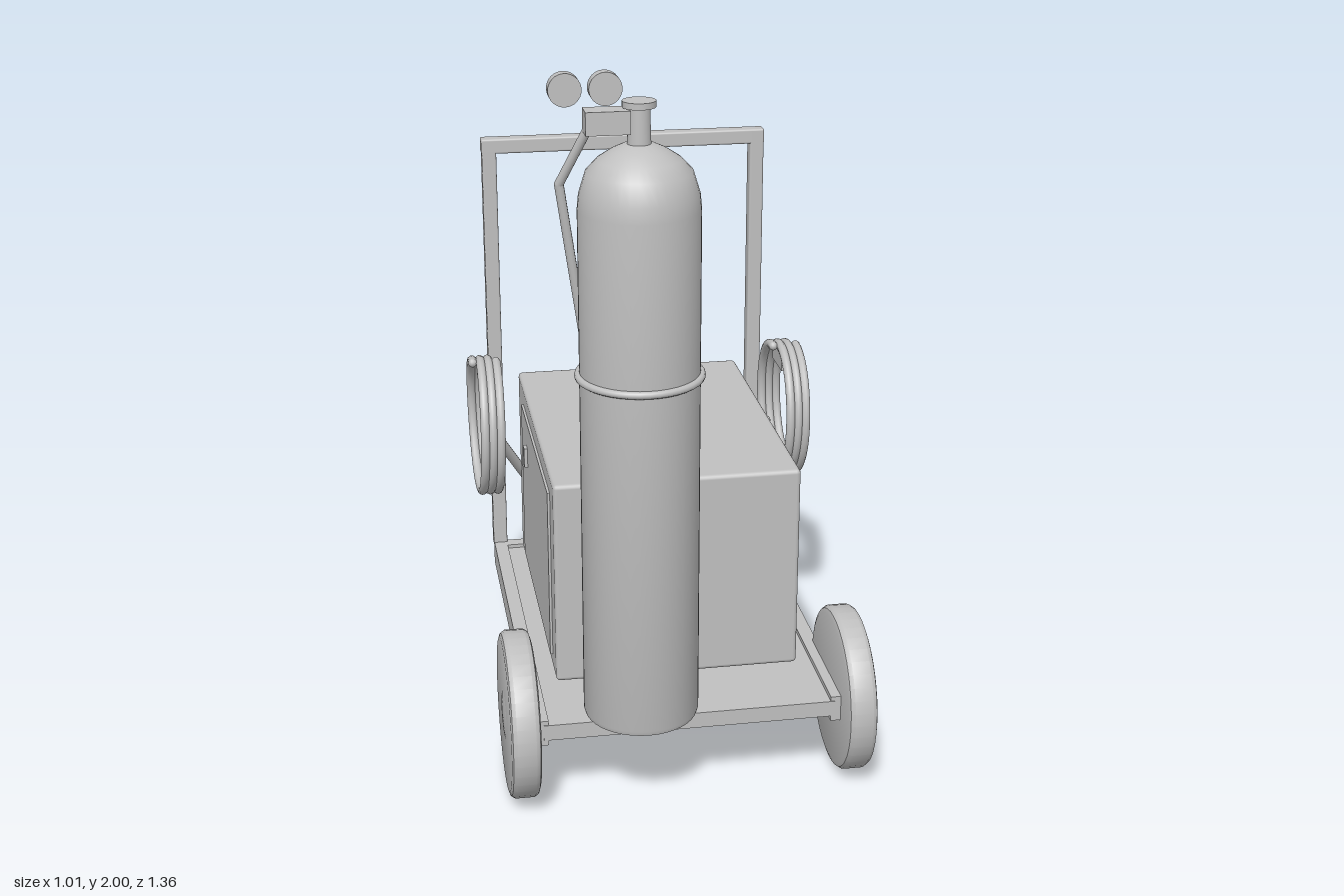
import * as THREE from 'three';
import { toCreasedNormals } from 'three/addons/utils/BufferGeometryUtils.js';
import { RoundedBoxGeometry } from 'three/addons/geometries/RoundedBoxGeometry.js';

const V = (x, y, z) => new THREE.Vector3(x, y, z);

export function createModel() {
  const model = new THREE.Group();
  model.name = 'weldingCart';
  const grey = new THREE.MeshStandardMaterial({ color: 0xc0c0c0 });
  grey.name = 'plain grey';

  const add = (name, geometry, x = 0, y = 0, z = 0) => {
    const mesh = new THREE.Mesh(geometry, grey);
    mesh.name = name;
    mesh.position.set(x, y, z);
    model.add(mesh);
    return mesh;
  };
  const box = (name, w, h, d, x, y, z) => add(name, new THREE.BoxGeometry(w, h, d), x, y, z);
  const softBox = (name, w, h, d, r, x, y, z) => add(name, new RoundedBoxGeometry(w, h, d, 2, r), x, y, z);
  // Disc whose axis runs along x or z
  const disc = (name, axis, r, depth, x, y, z, sides = 32) => {
    const g = new THREE.CylinderGeometry(r, r, depth, sides);
    if (axis === 'x') g.rotateZ(Math.PI / 2);
    if (axis === 'z') g.rotateX(Math.PI / 2);
    return add(name, g, x, y, z);
  };
  // Lathe from [radius, height] pairs, with crisp corners
  const lathe = (profile, crease = 0.6) => toCreasedNormals(
    new THREE.LatheGeometry(profile.map(([r, y]) => new THREE.Vector2(r, y)), 40), crease);
  // Bent round cable with a ball at each joint
  const cable = (name, points, r) => {
    for (let i = 0; i < points.length - 1; i++) {
      const curve = new THREE.LineCurve3(points[i], points[i + 1]);
      add(name, new THREE.TubeGeometry(curve, 1, r, 12));
      add(name + 'Joint', new THREE.SphereGeometry(r, 12, 8), ...points[i + 1].toArray());
    }
  };

  // Platform and push handle
  box('deck', 0.8, 0.045, 1.15, 0, 0.2325, -0.03);
  box('rearRail', 0.85, 0.07, 0.04, 0, 0.231, -0.6);
  softBox('handleBar', 0.86, 0.045, 0.045, 0.006, 0, 1.557, -0.625);
  for (const s of [-1, 1]) {
    box('sideRail', 0.04, 0.073, 1.16, s * 0.407, 0.231, -0.037);
    softBox('handlePost', 0.043, 1.32, 0.045, 0.006, s * 0.407, 0.915, -0.625);
  }

  // Front wheels, axle and rear casters
  disc('axle', 'x', 0.02, 0.84, 0, 0.2295, 0.42, 16);
  const tyre = lathe([[0, -0.04], [0.208, -0.04], [0.22, -0.036], [0.2275, -0.025],
    [0.2275, 0.025], [0.22, 0.036], [0.208, 0.04], [0, 0.04]]);
  tyre.rotateZ(Math.PI / 2);
  for (const s of [-1, 1]) {
    add('wheel', tyre, s * 0.455, 0.2295, 0.42);
    add('wheelHub', new THREE.SphereGeometry(0.08, 32, 16), s * 0.49, 0.2295, 0.42).scale.x = 0.12;
    disc('casterWheel', 'x', 0.072, 0.038, s * 0.346, 0.08, -0.555);
    box('casterFork', 0.038, 0.09, 0.06, s * 0.346, 0.165, -0.555);
  }

  // Power unit
  softBox('powerUnit', 0.68, 0.588, 0.905, 0.012, 0, 0.56, -0.1205);
  box('sideDoor', 0.008, 0.49, 0.68, -0.343, 0.555, -0.09);
  box('doorLatch', 0.012, 0.06, 0.03, -0.351, 0.69, -0.285);

  // Control panel on the rear face
  box('controlPanel', 0.6, 0.5, 0.008, 0, 0.56, -0.576);
  box('display', 0.125, 0.055, 0.008, 0.17, 0.755, -0.582);
  for (let i = 0; i < 5; i++) box('ventSlat', 0.19, 0.012, 0.009, -0.16, 0.455 + i * 0.031, -0.583);
  for (const x of [-0.115, 0.125]) {
    disc('knob', 'z', 0.035, 0.035, x, 0.64, -0.594, 24);
    disc('socket', 'z', 0.032, 0.035, x, 0.395, -0.594, 24);
  }

  // Welding leads and their coils
  for (const s of [-1, 1]) {
    cable('lead', [V(s * 0.125, 0.395, -0.6), V(s * 0.25, 0.365, -0.665), V(s * 0.42, 0.685, -0.465)], 0.015);
    const turns = 3, points = [];
    for (let i = 0; i <= turns * 32; i++) {
      const t = i / 32, a = t * Math.PI * 2;
      points.push(V(0.023 * (t - turns / 2), 0.2 * Math.cos(a), -0.177 * Math.sin(a)));
    }
    const coil = new THREE.TubeGeometry(new THREE.CatmullRomCurve3(points), turns * 48, 0.0135, 10);
    add('cableCoil', coil, s * 0.457, 0.755, -0.395);
    for (const p of [points[0], points[points.length - 1]])
      add('coilEnd', new THREE.SphereGeometry(0.0135, 10, 8), s * 0.457 + p.x, 0.755 + p.y, -0.395 + p.z);
    box('coilHook', 0.04, 0.05, 0.125, s * 0.455, 0.92, -0.395);
  }

  // Gas bottle with retaining ring, neck and valve
  const bx = -0.133, bz = 0.515;
  add('gasBottle', lathe([[0, 0.265], [0.138, 0.265], [0.15, 0.27], [0.154, 0.283], [0.154, 1.66],
    [0.15, 1.7], [0.133, 1.755], [0.105, 1.785], [0.07, 1.808], [0.04, 1.822], [0, 1.826]], 0.7), bx, 0, bz);
  const ring = new THREE.TorusGeometry(0.157, 0.01, 10, 40);
  ring.rotateX(Math.PI / 2);
  add('retainingRing', ring, bx, 1.228, bz);
  add('bottleNeck', new THREE.CylinderGeometry(0.027, 0.03, 0.1, 24), bx, 1.86, bz);
  add('valveHandle', new THREE.CylinderGeometry(0.042, 0.042, 0.016, 24), bx, 1.921, bz);

  // Regulator, gauges and gas hose
  box('regulator', 0.11, 0.058, 0.062, -0.213, 1.881, bz);
  for (const x of [-0.313, -0.214]) disc('gauge', 'z', 0.041, 0.032, x, 1.959, 0.5);
  cable('gasHose', [V(-0.25, 1.87, 0.495), V(-0.322, 1.71, 0.44), V(-0.17, 0.7, 0.337)], 0.012);

  return model;
}
